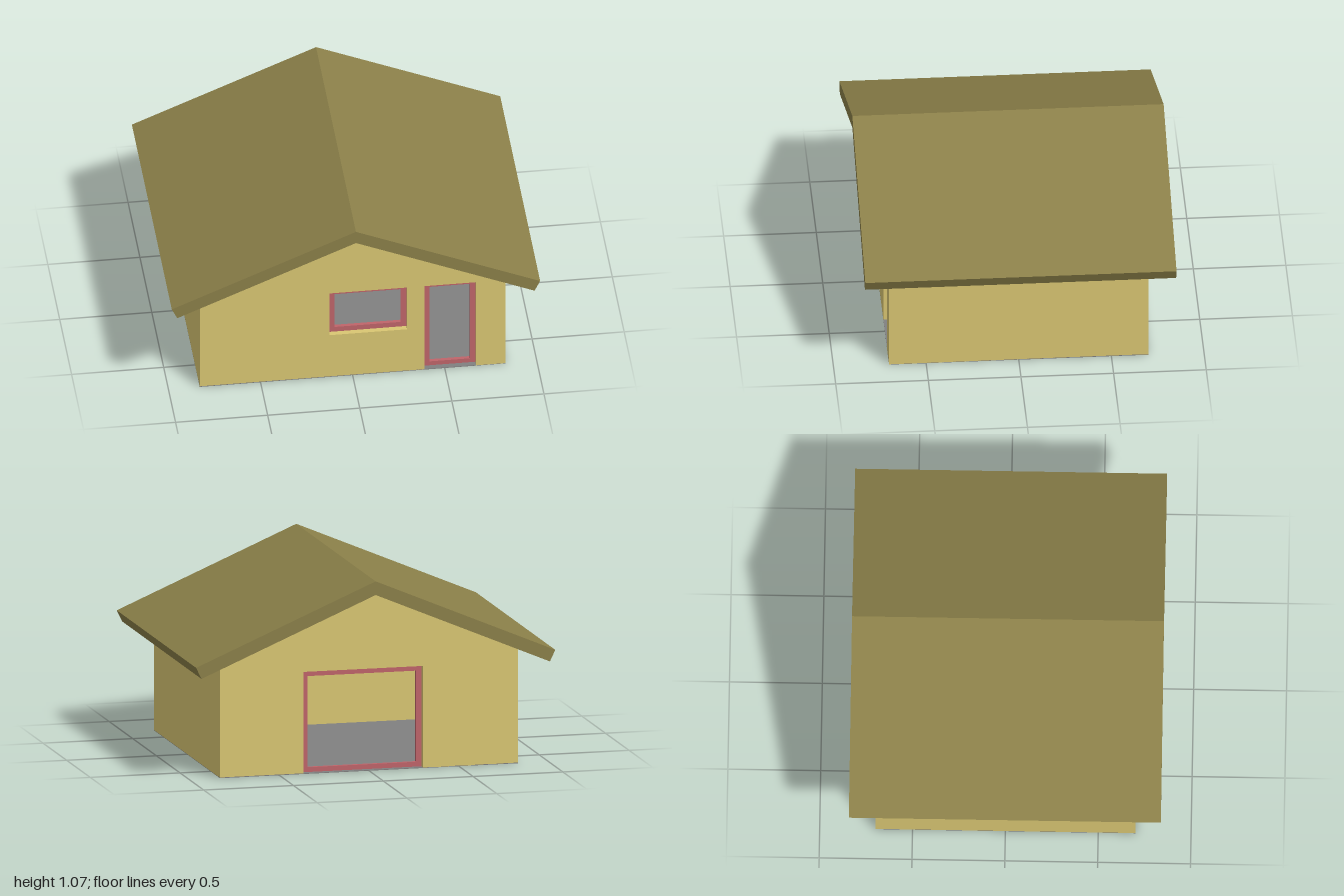
import * as THREE from 'three';

const paint = (color) => new THREE.MeshStandardMaterial({ color, flatShading: true });

const HALF_W = 0.83, HALF_D = 0.7, WALL = 0.08, BASE = 0.002;
const FRAME_W = 0.03, FRAME_D = 0.02, RECESS = 0.03;
const SLOPE = 0.425, PEAK = 0.99;
const underRoof = (x) => PEAK - SLOPE * Math.abs(x);

function polygon(points) {
  return new THREE.Shape(points.map(([x, y]) => new THREE.Vector2(x, y)));
}

function rectangle(x0, x1, y0, y1) {
  return [[x0, y0], [x1, y0], [x1, y1], [x0, y1]];
}

// Extrudes a front-facing shape from z0 to z0 + depth
function slab(name, shape, z0, depth, material) {
  const geometry = new THREE.ExtrudeGeometry(shape, { depth, bevelEnabled: false });
  geometry.translate(0, 0, z0);
  const mesh = new THREE.Mesh(geometry, material);
  mesh.name = name;
  return mesh;
}

// Gable wall with a doorway notched into its base
function gableShape([x0, x1, top]) {
  return polygon([
    [-HALF_W, BASE], [x0, BASE], [x0, top], [x1, top], [x1, BASE], [HALF_W, BASE],
    [HALF_W, underRoof(HALF_W)], [0, PEAK], [-HALF_W, underRoof(HALF_W)],
  ]);
}

// Rectangular ring that fills the edge of an opening
function frameShape(x0, x1, y0, y1) {
  const w = FRAME_W;
  const shape = polygon(rectangle(x0, x1, y0, y1));
  shape.holes.push(polygon(rectangle(x0 + w, x1 - w, y0 + w, y1 - w)));
  return shape;
}

export function createModel() {
  const house = new THREE.Group();
  house.name = 'house';
  const wallPaint = paint(0xd9c672);
  const roofPaint = paint(0x8b8049);
  const framePaint = paint(0xbf646a);

  // Floor
  const floor = new THREE.Mesh(new THREE.BoxGeometry(2 * HALF_W, 0.004, 2 * HALF_D), paint(0x808080));
  floor.name = 'floor';
  floor.position.y = 0.002;
  house.add(floor);

  // Front wall with window and door, back wall with a wide doorway
  const door = [0.39, 0.67, 0.56];
  const wideDoor = [-0.3, 0.365, 0.56];
  const win = [-0.125, 0.295, 0.28, 0.56];
  const front = gableShape(door);
  front.holes.push(polygon(rectangle(...win)));
  house.add(slab('frontWall', front, HALF_D - WALL, WALL, wallPaint));
  house.add(slab('backWall', gableShape(wideDoor), -HALF_D, WALL, wallPaint));

  // Side walls, sloped on top to meet the roof
  for (const [name, s] of [['leftWall', 1], ['rightWall', -1]]) {
    const a = s * HALF_W, b = s * (HALF_W - WALL);
    const shape = polygon([[a, BASE], [b, BASE], [b, underRoof(b)], [a, underRoof(a)]]);
    house.add(slab(name, shape, -HALF_D + WALL, 2 * (HALF_D - WALL), wallPaint));
  }

  // Frames set back in their openings
  const frontZ = HALF_D - RECESS - FRAME_D, backZ = -HALF_D + RECESS;
  house.add(slab('windowFrame', frameShape(...win), frontZ, FRAME_D, framePaint));
  house.add(slab('doorFrame', frameShape(door[0], door[1], 0, door[2]), frontZ, FRAME_D, framePaint));
  house.add(slab('wideDoorFrame', frameShape(wideDoor[0], wideDoor[1], 0, wideDoor[2]), backZ, FRAME_D, framePaint));

  // Gabled roof with square-cut eaves
  const roof = polygon([
    [0, PEAK], [0.97, underRoof(0.97)], [1, 0.64], [0, 1.065], [-1, 0.64], [-0.97, underRoof(0.97)],
  ]);
  house.add(slab('roof', roof, -0.84, 1.68, roofPaint));

  return house;
}
